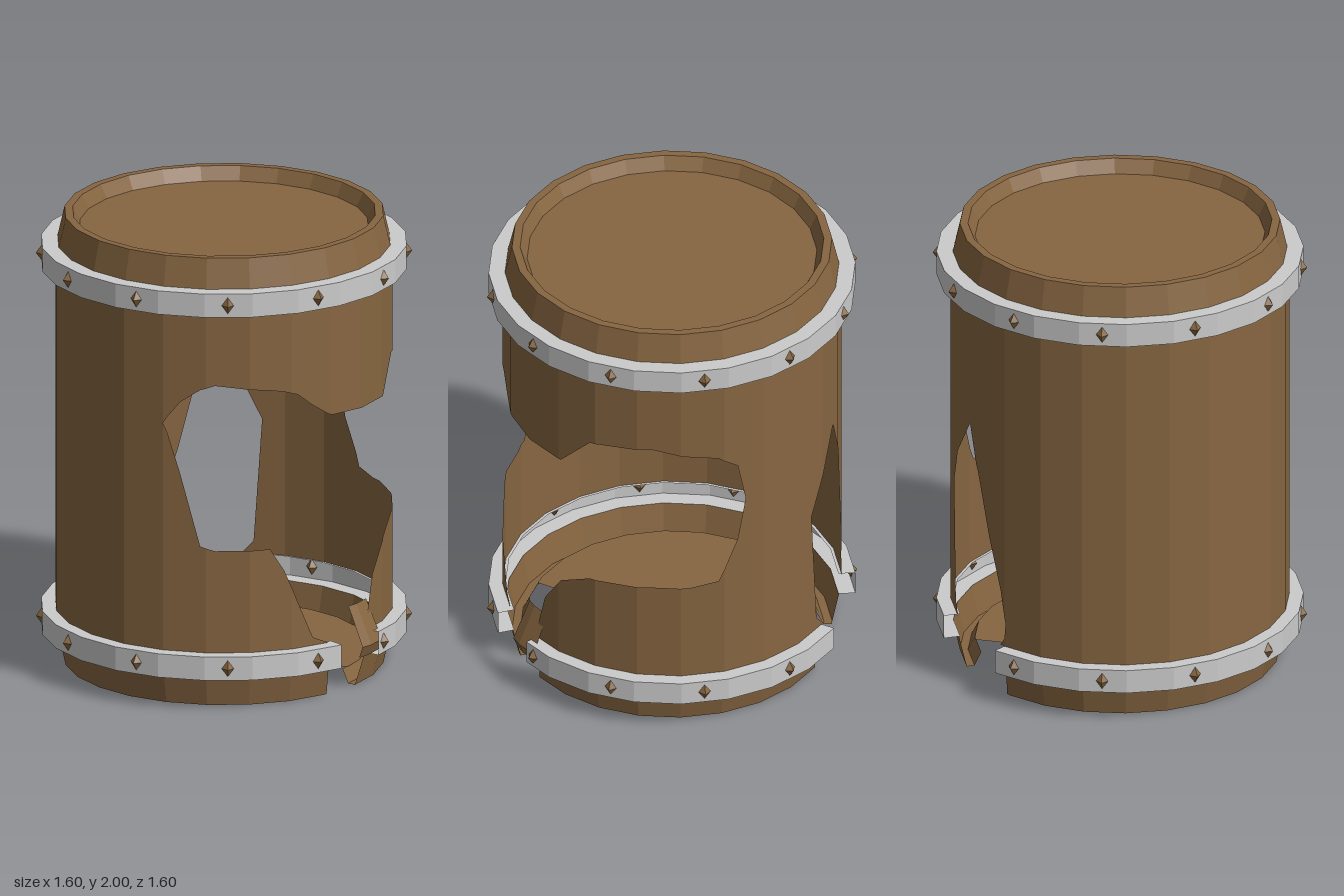
import * as THREE from 'three';

const SIDES = 24, STEP = 360 / SIDES;
const wood = new THREE.MeshStandardMaterial({ color: 0x876641, flatShading: true, side: THREE.DoubleSide });
const metal = new THREE.MeshStandardMaterial({ color: 0xcccccc, flatShading: true, side: THREE.DoubleSide });

// Broken edge of the staves: [angle from front towards +x, top of lower part, bottom of upper part]
const BREAK = [
  [0, 1, 1], [15, 1.26, 1.26], [16.5, 1.22, 1.29], [21, 1.04, 1.36], [28, 0.72, 1.42], [33, 0.7, 1.44],
  [52, 0.7, 1.41], [57, 0.6, 1.4], [62, 0.45, 1.38], [68, 0.28, 1.32], [74, 0.24, 1.27], [76, 0, 1.26],
  [91, 0, 1.25], [94, 0.3, 1.25], [98, 0.48, 1.25], [106, 0.62, 1.25], [118, 0.69, 1.4], [140, 0.7, 1.42],
  [154, 0.7, 1.38], [163, 0.72, 1.36], [170, 0.92, 1.3], [173, 1.12, 1.12], [203, 0.85, 0.85],
  [206, 0.3, 0.92], [210, 0, 1.02], [220, 0, 1.2], [226, 0, 1], [232, 0, 0.72], [238, 0, 0.5],
  [240.5, 0.35, 0.35], [245, 1, 1], [360, 1, 1],
];

function breakAt(deg) {
  const i = Math.max(1, BREAK.findIndex(b => b[0] >= deg));
  const a = BREAK[i - 1], b = BREAK[i], t = (deg - a[0]) / (b[0] - a[0]);
  return [a[1] + (b[1] - a[1]) * t, a[2] + (b[2] - a[2]) * t];
}

// Point on the flat-sided barrel
function point(deg, r, y) {
  const local = (((deg % STEP) + STEP) % STEP) - STEP / 2, rad = Math.PI / 180;
  const k = r * Math.cos(STEP / 2 * rad) / Math.cos(local * rad);
  return [k * Math.sin(deg * rad), y, k * Math.cos(deg * rad)];
}

function quad(out, a, b, c, d) {
  out.push(...a, ...b, ...c, ...a, ...c, ...d);
}

function meshFrom(positions, material, name) {
  const g = new THREE.BufferGeometry();
  g.setAttribute('position', new THREE.Float32BufferAttribute(positions, 3));
  g.computeVertexNormals();
  const m = new THREE.Mesh(g, material);
  m.name = name;
  return m;
}

// Angles of all stave corners plus extra ones
function angles(from, to, extra = []) {
  const set = new Set([from, to, ...extra.filter(a => a > from && a < to)]);
  for (let a = 0; a <= 360; a += STEP) if (a > from && a < to) set.add(a);
  return [...set].sort((a, b) => a - b);
}

// Profile of [radius, y] swept round part of the barrel
function sweep(out, profile, list, skip = () => false) {
  for (let i = 0; i + 1 < list.length; i++) {
    const a = list[i], b = list[i + 1];
    if (skip((a + b) / 2)) continue;
    for (let j = 0; j + 1 < profile.length; j++) {
      const [r0, y0] = profile[j], [r1, y1] = profile[j + 1];
      quad(out, point(a, r0, y0), point(b, r0, y0), point(b, r1, y1), point(a, r1, y1));
    }
  }
}

// One height band of the wall, clipped to the broken edge
function wallBand(out, [r0, y0], [r1, y1], list) {
  const at = (deg, y) => point(deg, r0 + (r1 - r0) * (y - y0) / (y1 - y0), y);
  const clip = y => Math.min(y1, Math.max(y0, y));
  for (let i = 0; i + 1 < list.length; i++) {
    const a = list[i], b = list[i + 1], [la, ua] = breakAt(a), [lb, ub] = breakAt(b);
    if (la > y0 || lb > y0) quad(out, at(a, y0), at(b, y0), at(b, clip(lb)), at(a, clip(la)));
    if (ua < y1 || ub < y1) quad(out, at(a, clip(ua)), at(b, clip(ub)), at(b, y1), at(a, y1));
  }
}

export function createModel() {
  const group = new THREE.Group();
  const all = angles(0, 360, BREAK.map(b => b[0]));

  // Staves, open behind the hoops
  const wall = [];
  wallBand(wall, [0.685, 0], [0.715, 0.14], all);
  wallBand(wall, [0.725, 0.245], [0.725, 1.765], all);
  wallBand(wall, [0.715, 1.87], [0.685, 2], all);
  group.add(meshFrom(wall, wood, 'staves'));

  // Lid with raised lip
  const lid = [];
  sweep(lid, [[0.685, 2], [0.65, 2], [0.62, 1.94], [0, 1.94]], angles(0, 360));
  group.add(meshFrom(lid, wood, 'lid'));

  // Bottom lip, missing where the staves are gone
  const lip = [];
  sweep(lip, [[0.62, 0.06], [0.65, 0], [0.685, 0]], all, deg => breakAt(deg)[0] < 0.02);
  group.add(meshFrom(lip, wood, 'bottomLip'));

  // Floor with two broken notches
  const notches = [[35, 0.62], [42, 0.33], [58, 0.4], [66, 0.58], [78, 0.42], [95, 0.62],
    [198, 0.62], [206, 0.45], [222, 0.32], [238, 0.45], [250, 0.62]];
  const inNotch = a => (a > 35 && a < 95) || (a > 198 && a < 250);
  const rim = angles(0, 359.9).filter(a => a < 359 && !inNotch(a)).map(a => [a, 0.62]);
  const outline = [...rim, ...notches].sort((p, q) => p[0] - q[0]).map(([a, r]) => {
    const t = a * Math.PI / 180;
    return new THREE.Vector2(r * Math.sin(t), -r * Math.cos(t));
  });
  const floorGeo = new THREE.ShapeGeometry(new THREE.Shape(outline));
  floorGeo.rotateX(-Math.PI / 2).translate(0, 0.06, 0);
  const floor = new THREE.Mesh(floorGeo, wood);
  floor.name = 'floor';
  group.add(floor);

  // Splintered stave leaning outwards
  const splinter = [];
  sweep(splinter, [[0.76, 0.15], [0.78, 0.2], [0.7, 0.37]], [86, 90, 97]);
  group.add(meshFrom(splinter, wood, 'splinter'));

  // Hoops: the lower one is broken in two places
  const studGeo = new THREE.OctahedronGeometry(1).scale(0.026, 0.036, 0.026);
  const hoops = [
    { name: 'lowerHoop', y0: 0.14, y1: 0.245, arcs: [[0, 76], [94, 209], [240, 360]] },
    { name: 'upperHoop', y0: 1.765, y1: 1.87, arcs: [[0, 360]] },
  ];
  for (const { name, y0, y1, arcs } of hoops) {
    const band = [];
    for (const [from, to] of arcs) {
      sweep(band, [[0.712, y0], [0.785, y0], [0.785, y1], [0.712, y1]], angles(from, to));
    }
    group.add(meshFrom(band, metal, name));
    // Studs
    for (let deg = 7.3; deg < 360; deg += 30) {
      if (!arcs.some(([from, to]) => deg > from && deg < to)) continue;
      const stud = new THREE.Mesh(studGeo, wood);
      stud.name = name + 'Stud';
      stud.position.set(...point(deg, 0.785, (y0 + y1) / 2));
      stud.rotation.y = deg * Math.PI / 180;
      group.add(stud);
    }
  }
  return group;
}
